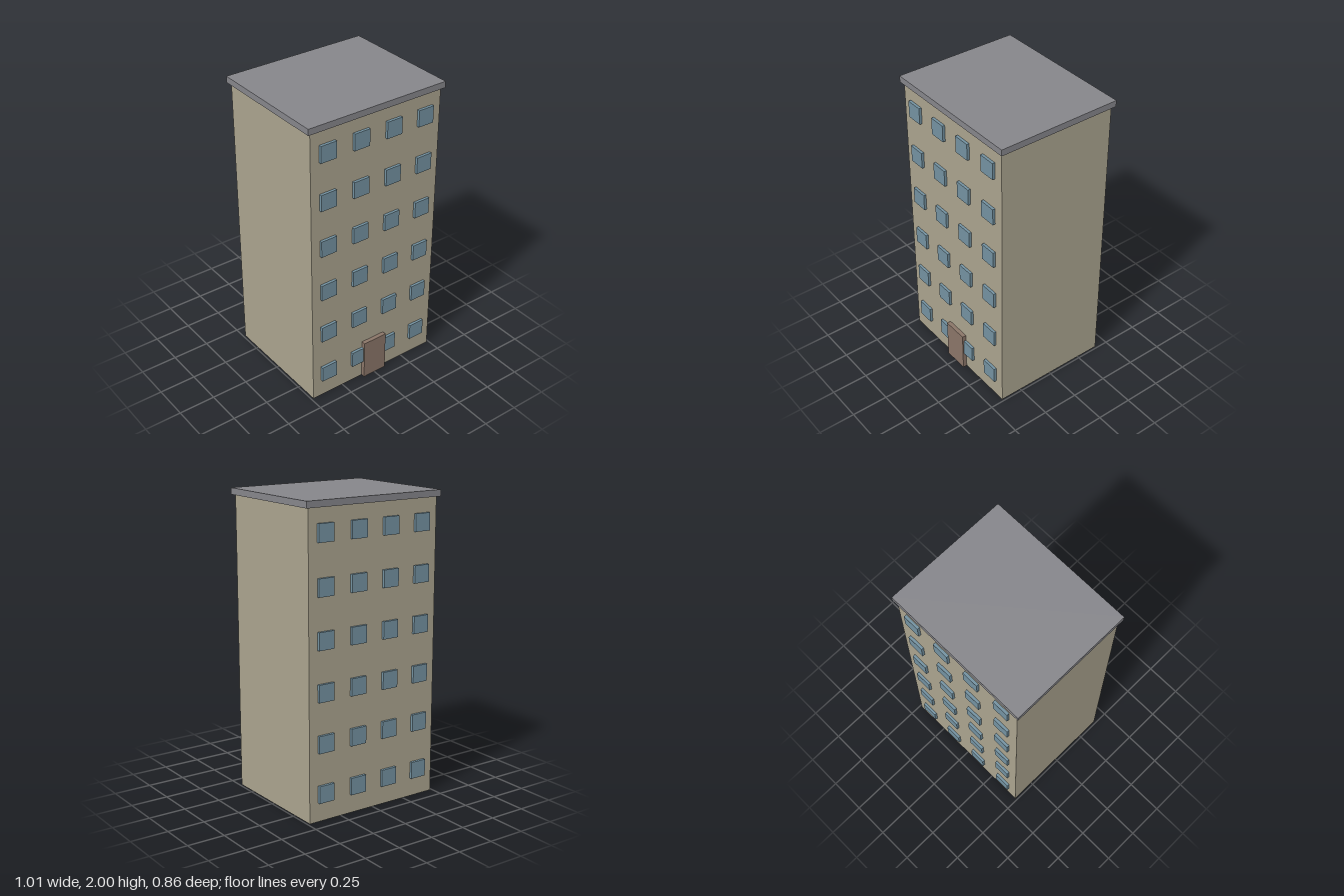
import * as THREE from 'three';

const material = (name, color) => {
  const m = new THREE.MeshStandardMaterial({ color });
  m.name = name;
  return m;
};

export function createModel() {
  const wall = material('beige wall', 0xaaa38e);
  const roofGrey = material('roof grey', 0x85858a);
  const glass = material('window blue', 0x7391a0);
  const doorBrown = material('door brown', 0x8a7568);

  const building = new THREE.Group();
  building.name = 'apartmentBlock';

  const box = (name, mat, w, h, d, x, y, z, parent = building) => {
    const mesh = new THREE.Mesh(new THREE.BoxGeometry(w, h, d), mat);
    mesh.name = name;
    mesh.position.set(x, y, z);
    parent.add(mesh);
  };

  // The door stands proud of the front, so the block sits slightly back
  const zMid = -0.005;
  const wallHalfDepth = 0.407;
  box('walls', wall, 0.97, 1.96, wallHalfDepth * 2, 0, 0.98, zMid);
  box('roofSlab', roofGrey, 1.014, 0.042, 0.848, 0, 1.979, zMid);
  box('door', doorBrown, 0.176, 0.28, 0.04, 0, 0.14, 0.41);

  // Six floors of four windows on the front and the back
  for (const side of [1, -1]) {
    const windows = new THREE.Group();
    windows.name = side > 0 ? 'frontWindows' : 'backWindows';
    building.add(windows);
    for (let floor = 0; floor < 6; floor++) {
      for (let col = 0; col < 4; col++) {
        box('window', glass, 0.113, 0.113, 0.036,
          (col - 1.5) * 0.2435, 0.18 + floor * 0.3254,
          zMid + side * wallHalfDepth, windows);
      }
    }
  }
  return building;
}
